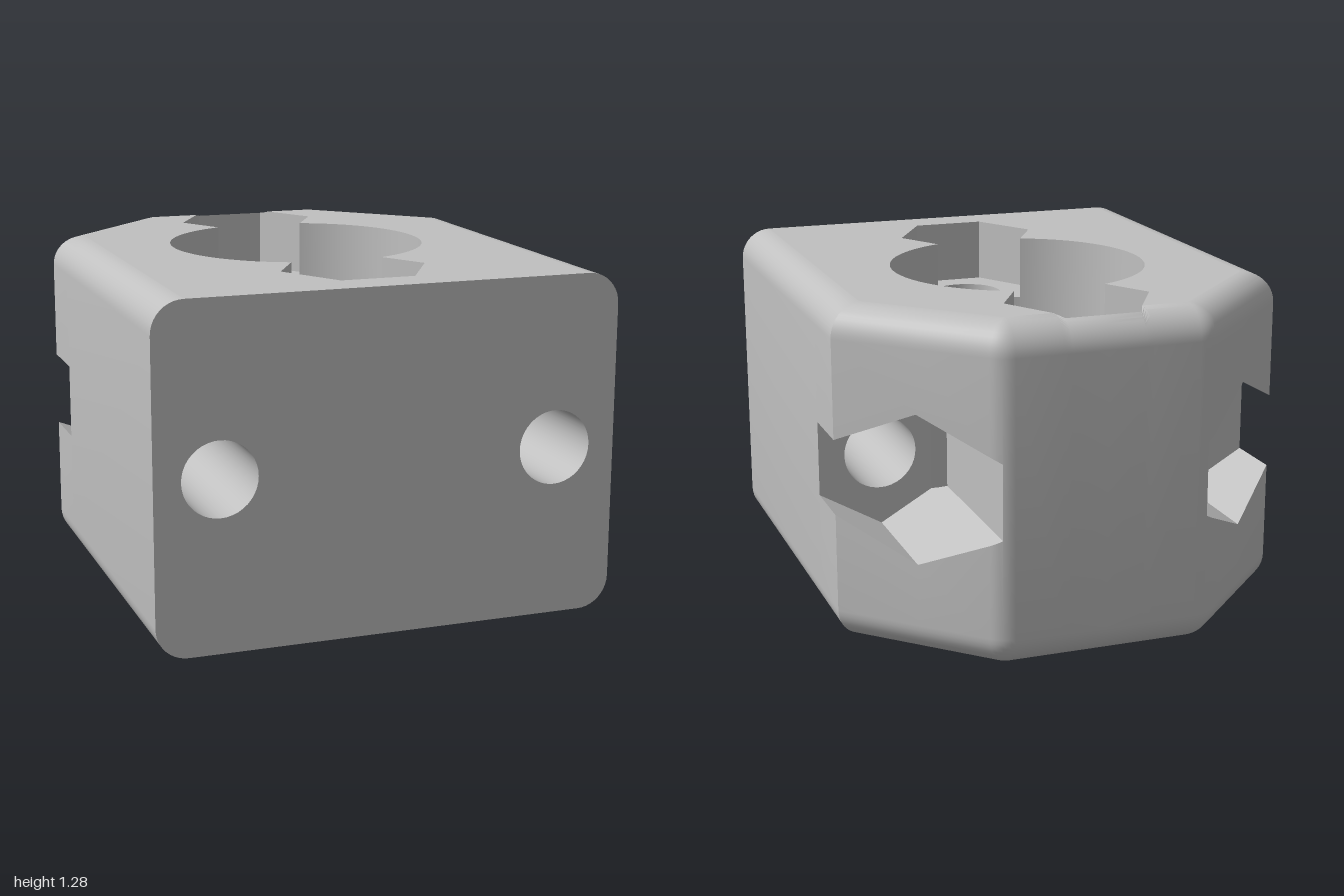
import * as THREE from 'three';
import { toCreasedNormals } from 'three/addons/utils/BufferGeometryUtils.js';

// Overall block: half width, height, edge radius
const W = 0.88, H = 1.28, R = 0.12, BACK = -1, FRONT = 1;
// Main vertical bore and the two screw holes beside it
const BORE_Z = -0.04, BORE_R = 0.5, SCREW_R = 0.143, SCREW_D = BORE_R + SCREW_R;
// Hexagonal nut pockets
const AP = 0.245, HEX = AP / Math.cos(Math.PI / 6), FLOOR_Y = 1.03;
// Horizontal bolt holes and their pockets
const BX = 0.64, BY = 0.64, BOLT_R = 0.14, FLOOR_Z = -0.28, INNER = BX - AP;
const PI = Math.PI, S3 = Math.sqrt(3), ARC = 10;

const arc = (cx, cy, r, a0, a1, n) => Array.from({ length: n + 1 }, (_, i) => {
  const a = a0 + (a1 - a0) * i / n;
  return [cx + r * Math.cos(a), cy + r * Math.sin(a)];
});
// Half height of a bolt pocket at a given x
const pocketHalf = x => HEX - Math.abs(x - BX) / S3;

// Adds quads between two point chains
function strip(tris, a, b) {
  for (let i = 0; i + 1 < a.length; i++) {
    tris.push(a[i], a[i + 1], b[i + 1], a[i], b[i + 1], b[i]);
  }
}

// Adds a filled outline, placed in space by map(u, v)
function face(tris, outline, hole, map, flip) {
  const vec = p => new THREE.Vector2(p[0], p[1]);
  const shape = new THREE.Shape(outline.map(vec));
  if (hole) shape.holes.push(new THREE.Path(hole.map(vec)));
  const g = new THREE.ShapeGeometry(shape), p = g.attributes.position, id = g.index.array;
  for (let i = 0; i < id.length; i += 3) {
    const t = [0, 1, 2].map(k => map(p.getX(id[i + k]), p.getY(id[i + k])));
    tris.push(...(flip ? t.reverse() : t));
  }
}

// Turns the +x half into a mesh of both halves
function mirroredMesh(name, tris, material) {
  const pos = tris.flat();
  for (let i = 0; i < tris.length; i += 3) {
    for (const k of [0, 2, 1]) {
      const [x, y, z] = tris[i + k];
      pos.push(-x, y, z);
    }
  }
  const g = new THREE.BufferGeometry();
  g.setAttribute('position', new THREE.Float32BufferAttribute(pos, 3));
  const mesh = new THREE.Mesh(toCreasedNormals(g, 0.5), material);
  mesh.name = name;
  return mesh;
}

export function createModel() {
  const group = new THREE.Group();
  group.name = 'mountingBlock';
  const grey = new THREE.MeshStandardMaterial({ color: 0xc0c0c0, side: THREE.DoubleSide });
  grey.name = 'grey';
  const add = (name, tris) => group.add(mirroredMesh(name, tris, grey));

  // The rear nut pocket nicks the rounded back edge
  const backC = BORE_Z - SCREW_D, frontC = BORE_Z + SCREW_D;
  const nick = BACK + R - (backC - AP), nickX = HEX / 2 + nick / S3;
  const nickPhi = Math.acos(nick / R), nickY = H - R + R * Math.sin(nickPhi);

  // Plan outline from back centre to front corner, with inset directions
  const cornerX = 0.35, q = Math.SQRT1_2;
  const columns = [
    { x: 0, z: BACK, nx: 0, nz: -1, phi: nickPhi },
    { x: HEX / 2, z: BACK, nx: 0, nz: -1, phi: nickPhi },
    { x: nickX, z: BACK, nx: 0, nz: -1 },
    ...[0, 0.13, 0.26, Math.asin((INNER - cornerX) / R), 0.52, 0.65, PI / 4].map(a => ({
      x: cornerX + R * Math.sin(a), z: BACK + R - R * Math.cos(a),
      nx: Math.sin(a), nz: -Math.cos(a),
    })),
    { x: BX, z: BX - 1.4, nx: q, nz: -q },
    { x: W, z: W - 1.4, nx: 1, nz: 1 - Math.SQRT2 },
    { x: W, z: FLOOR_Z, nx: 1, nz: 0 },
    { x: W, z: FRONT, nx: 1, nz: 0 },
  ];
  const at = (c, d, y) => [c.x - d * c.nx, y, c.z - d * c.nz];
  const steps = Array.from({ length: ARC + 1 }, (_, i) => i / ARC);
  const lower = c => steps.map(t => {
    const f = (1 - t) * PI / 2;
    return at(c, R * (1 - Math.cos(f)), R - R * Math.sin(f));
  });
  const upper = c => steps.map(t => {
    const f = t * (c.phi ?? PI / 2);
    return at(c, R * (1 - Math.cos(f)), H - R + R * Math.sin(f));
  });
  const inPocket = c => c.x > INNER - 1e-6 && c.z < FLOOR_Z + 1e-6;

  // Rounded sides, chamfers and back, split around the bolt pockets
  const shell = [];
  for (let i = 0; i + 1 < columns.length; i++) {
    const a = columns[i], b = columns[i + 1];
    if (inPocket(a) && inPocket(b)) {
      const low = c => [...lower(c), at(c, 0, BY - pocketHalf(c.x))];
      const high = c => [at(c, 0, BY + pocketHalf(c.x)), ...upper(c)];
      strip(shell, low(a), low(b));
      strip(shell, high(a), high(b));
    } else {
      strip(shell, [...lower(a), ...upper(a)], [...lower(b), ...upper(b)]);
    }
  }
  add('outerShell', shell);

  // Where the nut pockets and bolt pockets cut the main bore
  const k = SCREW_D - S3 * HEX;
  const cutX = (-S3 * k + Math.sqrt(4 * BORE_R ** 2 - k * k)) / 4;
  const cutA = Math.acos(cutX / BORE_R);
  const winA = -Math.acos(INNER / BORE_R), winB = Math.asin((FLOOR_Z - BORE_Z) / BORE_R);
  const angles = [cutA, -cutA, winA, winB];
  for (let i = 0; i <= 48; i++) angles.push(PI / 2 - i * PI / 48);
  angles.sort((a, b) => b - a);
  const onBore = a => [BORE_R * Math.cos(a), BORE_Z + BORE_R * Math.sin(a)];
  const boreArc = (from, to) => angles.filter(a => a <= from + 1e-9 && a >= to - 1e-9).map(onBore);

  // Main bore wall
  const bore = [];
  const rise = (p, ys) => ys.map(y => [p[0], y, p[1]]);
  for (let i = 0; i + 1 < angles.length; i++) {
    const a = onBore(angles[i]), b = onBore(angles[i + 1]), m = (angles[i] + angles[i + 1]) / 2;
    const top = Math.abs(m) > cutA ? FLOOR_Y : H;
    if (m < winB && m > winA) {
      const ha = pocketHalf(a[0]), hb = pocketHalf(b[0]);
      strip(bore, rise(a, [0, BY - ha]), rise(b, [0, BY - hb]));
      strip(bore, rise(a, [BY + ha, top]), rise(b, [BY + hb, top]));
    } else {
      strip(bore, rise(a, [0, top]), rise(b, [0, top]));
    }
  }
  add('mainBore', bore);

  // Top and bottom faces
  const inset = columns.slice(2).map(c => [c.x - R * c.nx, c.z - R * c.nz]);
  const frontHex = [[0, frontC + AP], [HEX / 2, frontC + AP], [HEX, frontC]];
  const topFace = [], bottomFace = [];
  face(topFace, [...inset, [0, FRONT], ...frontHex, ...boreArc(cutA, -cutA), [HEX, backC]],
    null, (x, z) => [x, H, z], true);
  add('topFace', topFace);
  const screwArc = c => arc(0, c, SCREW_R, PI / 2, -PI / 2, 20);
  face(bottomFace, [[0, BACK + R], ...inset, [0, FRONT], ...screwArc(frontC),
    ...boreArc(PI / 2, -PI / 2).slice(1), ...screwArc(backC).slice(1)], null, (x, z) => [x, 0, z], false);
  add('bottomFace', bottomFace);

  // Front face with bolt holes
  const boltCircle = arc(BX, BY, BOLT_R, 0, 2 * PI, 40);
  const frontFace = [];
  face(frontFace, [[0, 0], ...arc(W - R, R, R, -PI / 2, 0, ARC),
    ...arc(W - R, H - R, R, 0, PI / 2, ARC), [0, H]], boltCircle.slice(0, -1), (x, y) => [x, y, FRONT], false);
  add('frontFace', frontFace);

  // Screw holes and the nut pockets above them
  const screwHoles = [], nutPockets = [];
  for (const c of [frontC, backC]) {
    const ring = screwArc(c);
    for (let i = 0; i + 1 < ring.length; i++) {
      strip(screwHoles, rise(ring[i], [0, FLOOR_Y]), rise(ring[i + 1], [0, FLOOR_Y]));
    }
  }
  add('screwHoles', screwHoles);
  const backWall = [[...onBore(-cutA), H], [HEX, backC, H], [nickX, BACK + R, H],
    [HEX / 2, backC - AP, nickY], [0, backC - AP, nickY]];
  const frontWall = [...frontHex, onBore(cutA)].map(p => [...p, H]);
  for (const wall of [frontWall, backWall]) {
    for (let i = 0; i + 1 < wall.length; i++) {
      const [a, b] = [wall[i], wall[i + 1]];
      strip(nutPockets, rise(a, [FLOOR_Y, a[2]]), rise(b, [FLOOR_Y, b[2]]));
    }
  }
  const floorHalf = [...frontHex, ...boreArc(PI / 2, cutA).reverse(), ...screwArc(frontC).reverse().slice(1)];
  face(nutPockets, floorHalf, null, (x, z) => [x, FLOOR_Y, z], true);
  face(nutPockets, floorHalf, null, (x, z) => [x, FLOOR_Y, 2 * BORE_Z - z], false);
  add('nutPockets', nutPockets);

  // Bolt holes running front to back
  const boltHoles = [];
  for (let i = 0; i < 40; i++) {
    const line = p => [[...p, FLOOR_Z], [...p, FRONT]];
    strip(boltHoles, line(boltCircle[i]), line(boltCircle[i + 1]));
  }
  add('boltHoles', boltHoles);

  // Bolt pockets: slanted walls, inner wall and floor
  const boltPockets = [];
  const rim = columns.filter(inPocket).map(c => [c.x, c.z]);
  const innerHalf = [...rim.filter(p => p[0] <= BX), [BX, FLOOR_Z], ...boreArc(winB, winA)];
  const outerHalf = [...rim.filter(p => p[0] >= BX), [BX, FLOOR_Z]];
  for (const half of [innerHalf, outerHalf]) {
    for (const s of [1, -1]) {
      face(boltPockets, half, null, (x, z) => [x, BY + s * pocketHalf(x), z], s < 0);
    }
  }
  const h = pocketHalf(INNER), innerWall = p => rise(p, [BY - h, BY + h]);
  strip(boltPockets, innerWall(rim[0]), innerWall(onBore(winA)));
  const floorXs = [onBore(winB)[0], BX, W];
  face(boltPockets, [...floorXs.map(x => [x, BY - pocketHalf(x)]),
    ...floorXs.reverse().map(x => [x, BY + pocketHalf(x)])],
    boltCircle.slice(0, -1), (x, y) => [x, y, FLOOR_Z], true);
  add('boltPockets', boltPockets);

  return group;
}
